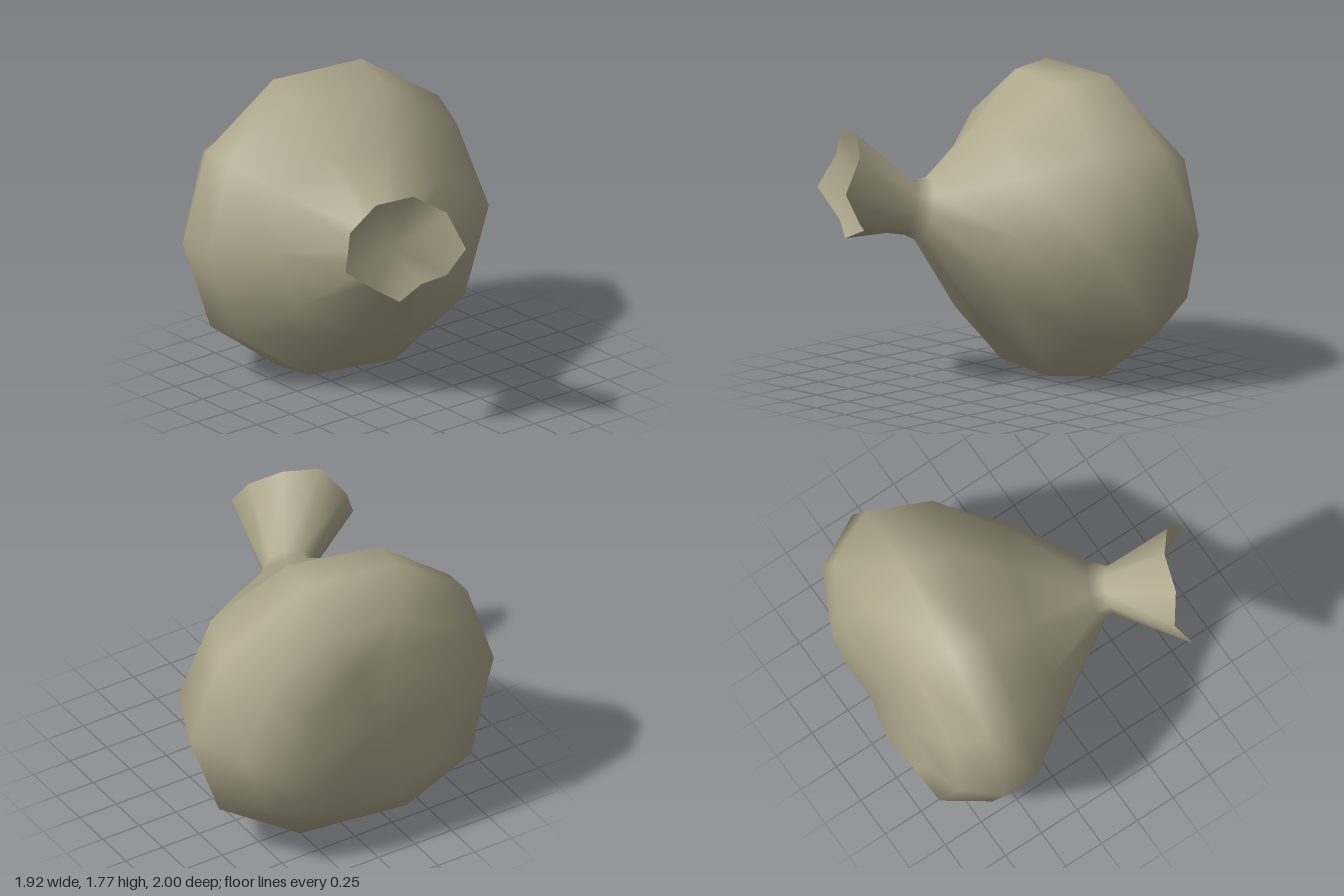
import * as THREE from 'three';

const SIDES = 10;

// Flared, wavy mouth edge, counter-clockwise from the +x side
const rim = [
  [-0.26, 1.22, 1.0], [-0.29, 1.41, 0.86], [-0.44, 1.51, 0.74], [-0.66, 1.49, 0.67], [-0.78, 1.32, 0.58],
  [-0.87, 1.12, 0.65], [-0.66, 0.96, 0.67], [-0.54, 0.88, 0.74], [-0.38, 0.95, 0.74], [-0.29, 1.02, 0.86],
];

// Uneven outer edge of the base
const base = [
  [0.79, 0.88, -0.81], [0.65, 1.3, -0.83], [0.24, 1.54, -0.84], [-0.24, 1.54, -0.86], [-0.66, 1.33, -0.91],
  [-0.79, 0.88, -0.92], [-0.65, 0.47, -0.97], [-0.25, 0.23, -0.92], [0.24, 0.24, -0.81], [0.66, 0.48, -0.84],
];

// Lumpy edge around the dent in the base
const dent = [
  [0.45, 0.82, -0.98], [0.38, 1.15, -0.98], [0.1, 1.3, -0.94], [-0.12, 1.3, -0.925], [-0.4, 1.15, -1.0],
  [-0.56, 0.82, -0.985], [-0.44, 0.55, -1.0], [-0.15, 0.44, -1.0], [0.1, 0.45, -0.94], [0.38, 0.55, -0.955],
];

// Tilted elliptical section; sag bends the two sides back, lean shifts top and bottom towards -x
function section({ c, rx, ry, tx, ty, sag = 0, lean = 0 }) {
  return Array.from({ length: SIDES }, (_, i) => {
    const a = (i / SIDES) * Math.PI * 2;
    const u = Math.cos(a), v = Math.sin(a);
    return [c[0] + rx * u - lean * v ** 4, c[1] + ry * v, c[2] + tx * u + ty * v - sag * u * u];
  });
}

// Joins the sections into one smooth skin, closed at the last by a centre point
function loft(rings, end) {
  const index = [];
  const at = (r, i) => r * SIDES + (i % SIDES);
  const last = rings.length - 1;
  for (let i = 0; i < SIDES; i++) {
    for (let r = 0; r < last; r++) {
      index.push(at(r, i), at(r + 1, i), at(r, i + 1));
      index.push(at(r, i + 1), at(r + 1, i), at(r + 1, i + 1));
    }
    index.push(at(last, i), rings.length * SIDES, at(last, i + 1));
  }
  const geometry = new THREE.BufferGeometry();
  geometry.setAttribute('position', new THREE.Float32BufferAttribute([...rings.flat(), end].flat(), 3));
  geometry.setIndex(index);
  geometry.computeVertexNormals();
  return geometry;
}

export function createModel() {
  const group = new THREE.Group();
  group.name = 'sack';
  const cloth = new THREE.MeshStandardMaterial({ color: 0xaea68c, side: THREE.DoubleSide });
  cloth.name = 'cloth';

  const rings = [
    rim,
    // tied neck
    section({ c: [-0.31, 1.055, 0.46], rx: 0.13, ry: 0.15, tx: 0.075, ty: -0.05 }),
    section({ c: [-0.27, 1.04, 0.38], rx: 0.17, ry: 0.18, tx: 0.08, ty: -0.055 }),
    // shoulder and belly
    section({ c: [-0.175, 0.94, 0.02], rx: 0.565, ry: 0.56, tx: 0.205, ty: -0.1 }),
    section({ c: [-0.09, 0.885, -0.32], rx: 0.87, ry: 0.89, tx: 0.215, ty: -0.06, sag: -0.035 }),
    section({ c: [0, 0.883, -0.615], rx: 0.962, ry: 0.929, tx: 0.12, ty: -0.02, sag: -0.01, lean: 0.05 }),
    // dented base
    base,
    dent,
  ];
  const body = new THREE.Mesh(loft(rings, [-0.04, 0.84, -0.92]), cloth);
  body.name = 'sackBody';
  group.add(body);

  // Hollow of cloth closing the mouth; run clockwise so it faces outwards
  const mouth = new THREE.Mesh(loft([[...rim].reverse()], [-0.46, 1.15, 0.6]), cloth);
  mouth.name = 'mouth';
  group.add(mouth);
  return group;
}
